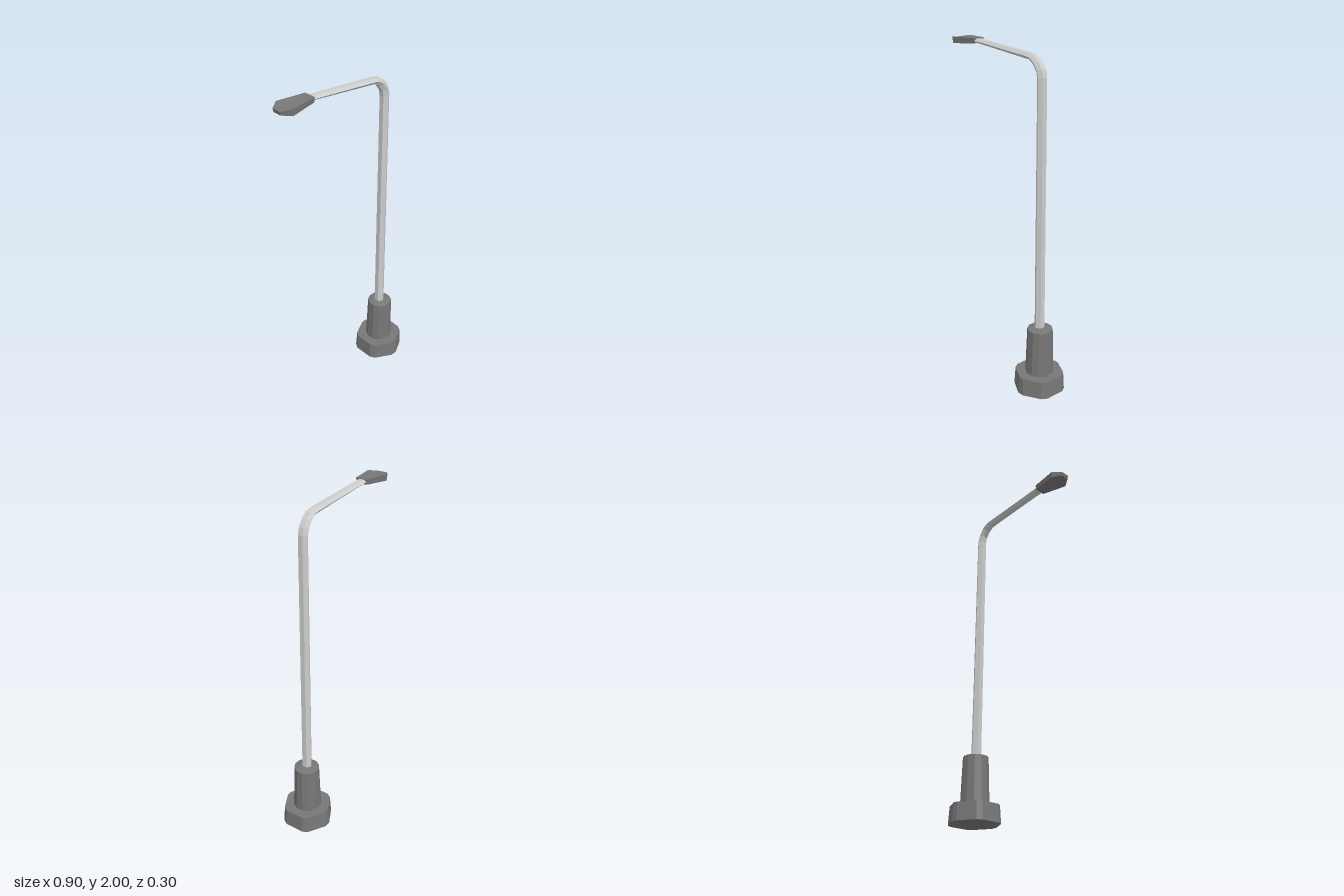
import * as THREE from 'three';

const lightGrey = new THREE.MeshStandardMaterial({ color: 0xcccccc, flatShading: true });
const darkGrey = new THREE.MeshStandardMaterial({ color: 0x777777, flatShading: true });

// Skin a list of rings (arrays of [x, y, z]) and close both ends with fans
function loft(rings) {
  const n = rings[0].length;
  const pos = rings.flat(2);
  const index = [];
  for (let r = 0; r < rings.length - 1; r++) {
    for (let i = 0; i < n; i++) {
      const a = r * n + i, b = r * n + (i + 1) % n;
      index.push(a, b, b + n, a, b + n, a + n);
    }
  }
  [0, rings.length - 1].forEach((r, end) => {
    const c = pos.length / 3;
    for (let k = 0; k < 3; k++) pos.push(rings[r].reduce((s, p) => s + p[k], 0) / n);
    for (let i = 0; i < n; i++) {
      const a = r * n + i, b = r * n + (i + 1) % n;
      index.push(c, ...(end ? [a, b] : [b, a]));
    }
  });
  const g = new THREE.BufferGeometry();
  g.setAttribute('position', new THREE.Float32BufferAttribute(pos, 3));
  g.setIndex(index);
  const flat = g.toNonIndexed();
  flat.computeVertexNormals();
  return flat;
}

const POLE_X = 0.31;

// Twelve-cornered foot outline, mirrored from one quadrant
function footRing(y, inset) {
  const q = [[0.139, 0.06], [0.12, 0.092], [0.021, 0.148]];
  const part = (sx, sz, pts) =>
    pts.map(([x, z]) => [POLE_X + sx * (x - inset), y, sz * (z - inset * z / 0.148)]);
  const back = [...q].reverse();
  return [...part(1, -1, q), ...part(-1, -1, back), ...part(-1, 1, q), ...part(1, 1, back)];
}

// Hexagonal pole section between an outer and an inner edge
function poleRing([ox, oy, ix, iy, w]) {
  const mx = (ox + ix) / 2, my = (oy + iy) / 2, h = w / 2;
  return [[ox, oy, h], [ox, oy, -h], [mx, my, -w], [ix, iy, -h], [ix, iy, h], [mx, my, w]];
}

// Lamp head outline: rows of [x, y, half width] from the arm to the tip
function headRing(rows) {
  const [a, b, c] = rows;
  const p = (r, s) => [r[0], r[1], s * r[2]];
  return [p(a, 1), p(a, -1), p(b, -1), p(c, -1), p(c, 1), p(b, 1)];
}

export function createModel() {
  const group = new THREE.Group();
  const add = (name, geometry, material) => {
    const mesh = new THREE.Mesh(geometry, material);
    mesh.name = name;
    group.add(mesh);
    return mesh;
  };

  // Heavy foot
  add('foot', loft([footRing(0, 0), footRing(0.105, 0.006)]), darkGrey);

  // Tapered twelve-sided sleeve with a shallow cone on top
  const profile = [[0.0835, 0.1], [0.0745, 0.386], [0, 0.402]].map(p => new THREE.Vector2(...p));
  add('sleeve', new THREE.LatheGeometry(profile, 12, Math.PI / 12), darkGrey).position.x = POLE_X;

  // Pole, bend and arm in one sweep: outer x, y, inner x, y, half width
  add('poleAndArm', loft([
    [0.332, 0.37, 0.28, 0.37, 0.03],
    [0.315, 1.846, 0.27, 1.836, 0.029],
    [0.304, 1.889, 0.262, 1.873, 0.029],
    [0.278, 1.926, 0.235, 1.91, 0.029],
    [0.246, 1.952, 0.204, 1.931, 0.029],
    [0.198, 1.963, 0.195, 1.931, 0.029],
    [-0.18, 1.993, -0.182, 1.968, 0.029],
    [-0.26, 1.997, -0.26, 1.975, 0.031],
  ].map(poleRing)), lightGrey);

  // Flat lamp head, narrowing towards the underside
  add('lampHead', loft([
    headRing([[-0.238, 1.971, 0.033], [-0.397, 1.959, 0.061], [-0.446, 1.966, 0.025]]),
    headRing([[-0.237, 2.0, 0.036], [-0.4, 1.997, 0.064], [-0.452, 1.987, 0.027]]),
  ]), darkGrey);

  return group;
}
